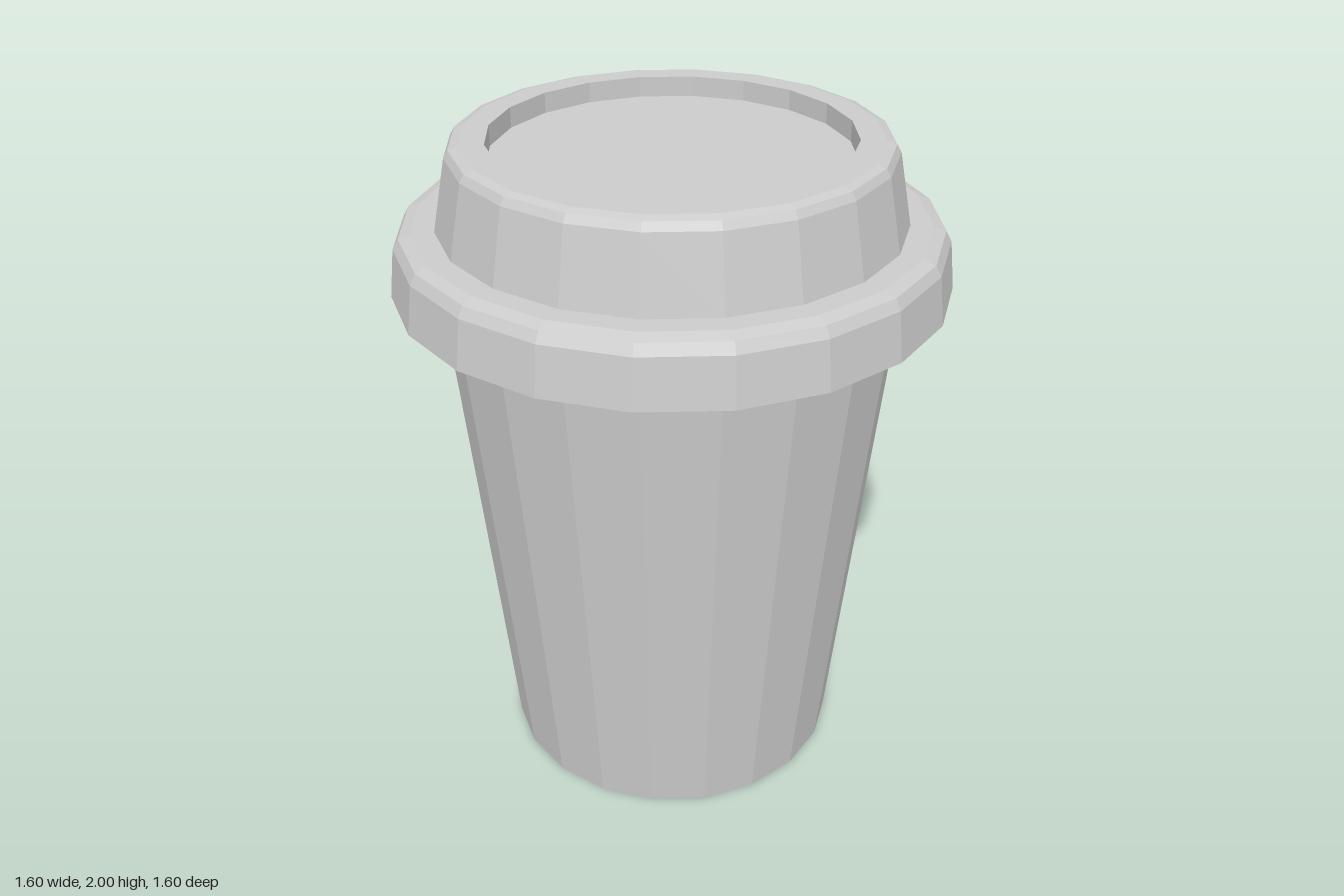
import * as THREE from 'three';

const SIDES = 20;

// Faceted solid of revolution from [radius, height] pairs, listed bottom to top
function turned(name, profile) {
  const points = profile.map(([r, y]) => new THREE.Vector2(r, y));
  const material = new THREE.MeshStandardMaterial({ color: 0xcccccc, flatShading: true });
  const mesh = new THREE.Mesh(new THREE.LatheGeometry(points, SIDES), material);
  mesh.name = name;
  return mesh;
}

export function createModel() {
  const group = new THREE.Group();
  group.name = 'takeawayCup';

  // Tapered cup with a closed base
  group.add(turned('cup', [[0, 0], [0.525, 0], [0.665, 1.58]]));

  // Lid: overhanging skirt, raised crown and sunken drinking surface
  group.add(turned('lid', [
    [0.66, 1.58], [0.8, 1.58],
    [0.782, 1.72], [0.765, 1.75], [0.73, 1.762],
    [0.665, 1.762],
    [0.623, 1.97], [0.61, 1.992], [0.585, 2],
    [0.512, 2], [0.512, 1.94], [0, 1.94],
  ]));

  return group;
}
